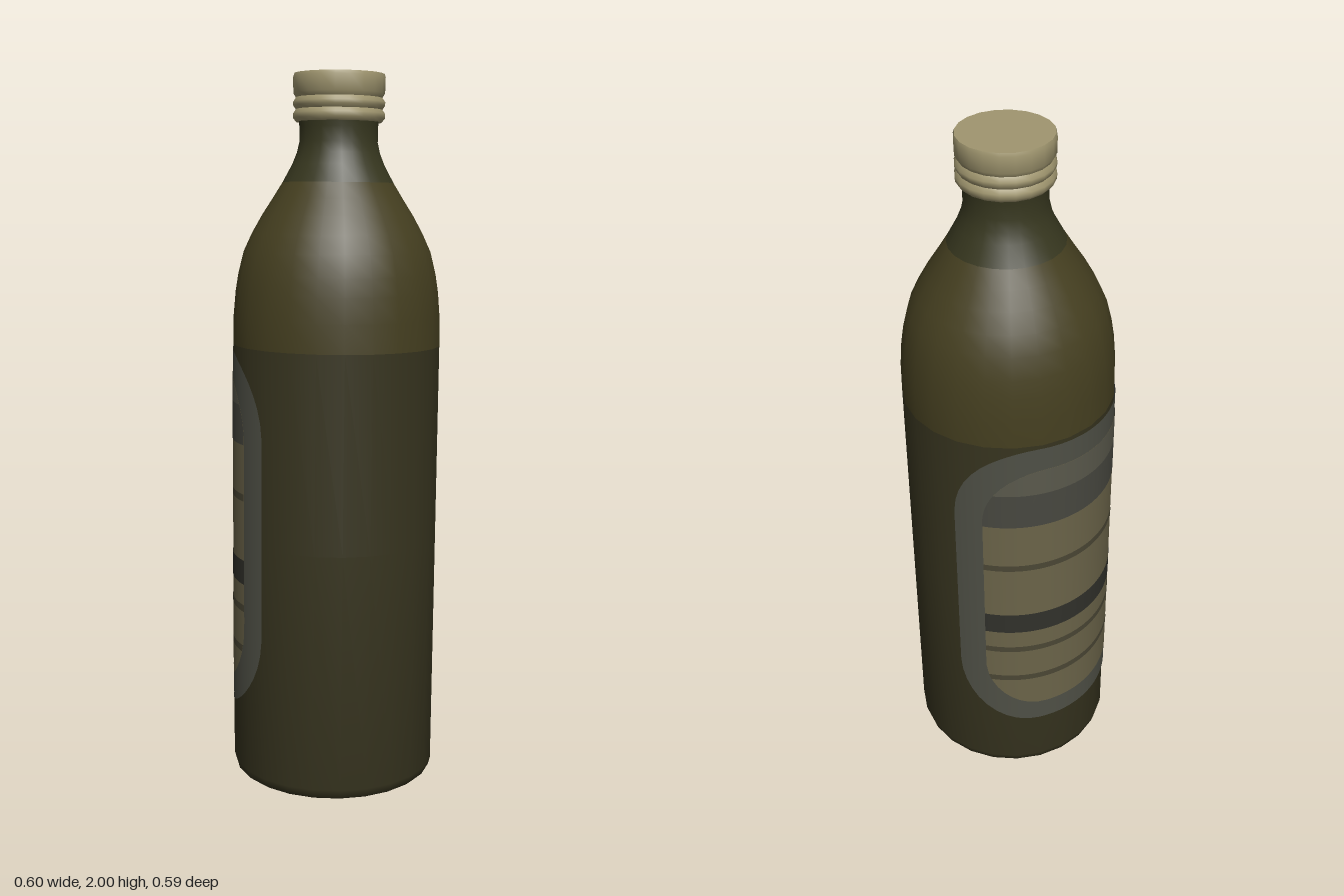
import * as THREE from 'three';
import { toCreasedNormals } from 'three/addons/utils/BufferGeometryUtils.js';

const material = (color, side = THREE.FrontSide) => new THREE.MeshStandardMaterial({ color, side });

// Turned part from [radius, height] pairs, bottom to top
function turned(name, profile, segments, color) {
  const points = profile.map(([r, y]) => new THREE.Vector2(r, y));
  const geometry = toCreasedNormals(new THREE.LatheGeometry(points, segments), 0.8);
  const mesh = new THREE.Mesh(geometry, material(color));
  mesh.name = name;
  return mesh;
}

// Half width (along the arc) of a rounded rectangle at height y
const roundedOutline = (centre, halfHeight, halfWidth, corner) => (y) => {
  const d = Math.min(corner, Math.max(0, Math.abs(y - centre) - (halfHeight - corner)));
  return halfWidth - corner + Math.sqrt(corner * corner - d * d);
};

// Thin sheet wrapped around the back of the bottle, bounded by an outline
function wrapped(name, outline, y0, y1, radius, color) {
  const rows = 32, columns = 48, turn = -0.08;
  const geometry = new THREE.PlaneGeometry(1, 1, columns, rows);
  const position = geometry.attributes.position;
  const normal = geometry.attributes.normal;
  for (let i = 0; i < position.count; i++) {
    const t = (1 - Math.cos((position.getY(i) + 0.5) * Math.PI)) / 2;
    const y = y0 + (y1 - y0) * t;
    const angle = turn - position.getX(i) * 2 * outline(y) / 0.292;
    position.setXYZ(i, Math.sin(angle) * radius, y, -Math.cos(angle) * radius);
    normal.setXYZ(i, Math.sin(angle), 0, -Math.cos(angle));
  }
  const mesh = new THREE.Mesh(geometry, material(color, THREE.DoubleSide));
  mesh.name = name;
  return mesh;
}

export function createModel() {
  const bottle = new THREE.Group();
  bottle.name = 'bottle';

  // Glass: body, shoulder and neck
  bottle.add(
    turned('body', [[0, 0], [0.277, 0], [0.287, 0.008], [0.293, 0.03], [0.293, 0.7], [0.293, 1.25]], 24, 0x37341f),
    turned('shoulder', [[0.293, 1.25], [0.292, 1.33], [0.286, 1.4], [0.278, 1.45], [0.263, 1.51],
      [0.24, 1.56], [0.212, 1.61], [0.183, 1.655], [0.155, 1.7]], 24, 0x453f20),
    turned('neck', [[0.155, 1.7], [0.128, 1.75], [0.116, 1.78], [0.109, 1.81], [0.109, 1.85], [0.113, 1.88]], 24, 0x37371f),
  );

  // Screw cap with two rolled ridges under a plain band
  bottle.add(
    turned('cap', [[0.105, 1.866], [0.119, 1.864], [0.127, 1.874], [0.128, 1.887], [0.12, 1.898],
      [0.127, 1.908], [0.128, 1.918], [0.12, 1.93], [0.127, 1.942], [0.128, 1.985], [0.125, 1.994], [0, 1.994]], 20, 0xa0966f),
  );

  // Wraparound label: border, inner panel and painted bands
  const border = roundedOutline(0.72, 0.52, 0.422, 0.24);
  const panel = roundedOutline(0.72, 0.45, 0.34, 0.18);
  bottle.add(
    wrapped('labelBorder', border, 0.2, 1.24, 0.2945, 0x4f5046),
    wrapped('labelPanel', panel, 0.27, 1.17, 0.2953, 0x6b6449),
  );
  const bands = [
    [0.38, 0.40, 0x4b4735], [0.5, 0.52, 0x4b4735], [0.58, 0.65, 0x31312b],
    [0.82, 0.84, 0x4b4735], [0.98, 1.09, 0x484840], [1.09, 1.17, 0x5a594c],
  ];
  for (const [y0, y1, color] of bands) {
    bottle.add(wrapped('labelBand', panel, y0, y1, 0.2961, color));
  }

  // The bottle leans very slightly to its left
  bottle.rotation.z = -0.0145;
  bottle.position.set(-0.0125, 0.004, 0);

  const model = new THREE.Group();
  model.name = 'model';
  model.add(bottle);
  return model;
}
